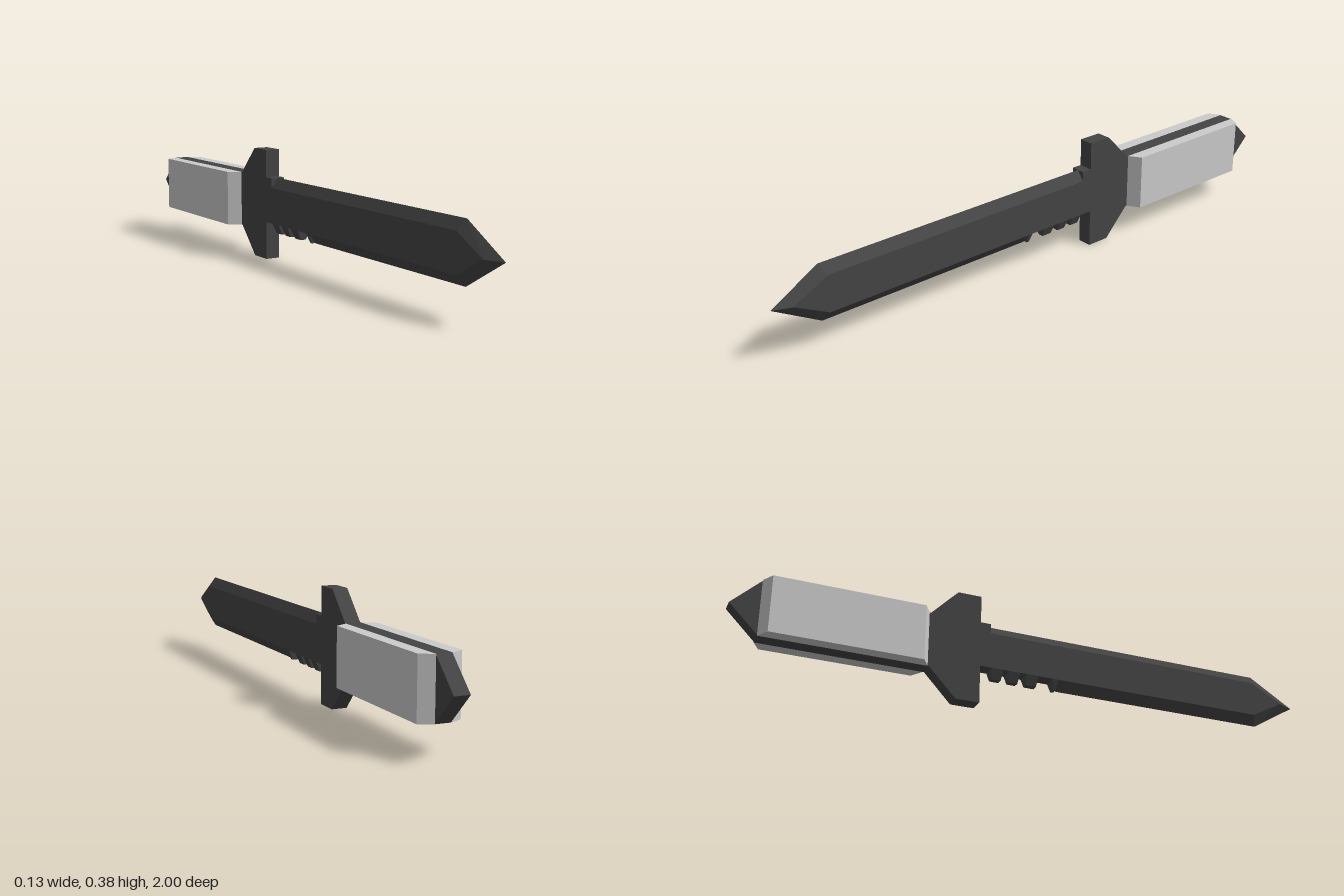
import * as THREE from 'three';
import { ConvexGeometry } from 'three/addons/geometries/ConvexGeometry.js';

const HALF = 0.025;  // half thickness of the blade, guard and tang
const LOW = 0.095, MID = 0.189, HIGH = 0.283;

export function createModel() {
  const group = new THREE.Group();
  const dark = new THREE.MeshStandardMaterial({ color: 0x444444 });
  const grey = new THREE.MeshStandardMaterial({ color: 0xcccccc });

  const add = (name, geometry, material = dark) => {
    const mesh = new THREE.Mesh(geometry, material);
    mesh.name = name;
    group.add(mesh);
  };

  // Flat plate from a side outline of [z, y] points
  const plate = (points) => {
    const shape = new THREE.Shape(points.map(([z, y]) => new THREE.Vector2(-z, y)));
    const geometry = new THREE.ExtrudeGeometry(shape, { depth: 2 * HALF, bevelEnabled: false });
    return geometry.translate(0, 0, -HALF).rotateY(Math.PI / 2);
  };

  // Convex solid from layers { x, points: [z, y] } mirrored across x = 0
  const mirroredHull = (layers) => new ConvexGeometry(layers.flatMap(({ x, points }) =>
    points.flatMap(([z, y]) => [new THREE.Vector3(x, y, z), new THREE.Vector3(-x, y, z)])));

  // Front of the blade: flat sides bevelled to a sharp edge all round
  add('blade', mirroredHull([
    { x: 0, points: [[0.075, LOW], [0.84, LOW], [1, MID], [0.84, HIGH], [0.075, HIGH]] },
    { x: HALF, points: [[0.075, 0.128], [0.825, 0.128], [0.94, MID], [0.825, 0.25], [0.075, 0.25]] },
  ]));

  // Rear of the blade, cut back below for the serration
  add('bladeRear', mirroredHull([
    { x: 0, points: [[0.075, HIGH], [-0.2, HIGH]] },
    { x: HALF, points: [[0.075, 0.128], [0.075, 0.25], [-0.2, 0.25], [-0.2, 0.128]] },
  ]));

  // Serration teeth under the rear of the blade
  for (const [front, back] of [[0.075, 0.055], [0.005, -0.04], [-0.06, -0.1], [-0.118, -0.16]]) {
    add('tooth', mirroredHull([
      { x: HALF, points: [[front, 0.13], [back, 0.13]] },
      { x: 0.01, points: [[front - 0.005, LOW], [back + 0.005, LOW]] },
    ]));
  }

  // Full-thickness step where the blade meets the guard
  add('bladeCollar', plate([[-0.165, 0.13], [-0.165, HIGH], [-0.21, HIGH], [-0.21, 0.13]]));

  // Cross guard, swept back towards the grip
  add('guard', plate([
    [-0.2, 0], [-0.2, 0.376], [-0.28, 0.376], [-0.37, HIGH], [-0.37, LOW], [-0.28, 0],
  ]));

  // Tang running through the grip to a pointed pommel
  add('tangAndPommel', plate([
    [-0.37, LOW], [-0.37, HIGH], [-0.905, HIGH], [-1, MID], [-0.905, LOW],
  ]));

  // Grip scales on both sides, with chamfered ends
  for (const side of [1, -1]) {
    const outline = new THREE.Shape([
      [HALF, 0.375], [0.067, 0.4], [0.067, 0.885], [HALF, 0.908],
    ].map(([x, y]) => new THREE.Vector2(side * x, y)));
    const scale = new THREE.ExtrudeGeometry(outline, { depth: HIGH - LOW, bevelEnabled: false });
    add(side > 0 ? 'leftGripScale' : 'rightGripScale',
      scale.rotateX(-Math.PI / 2).translate(0, LOW, 0), grey);
  }

  return group;
}
